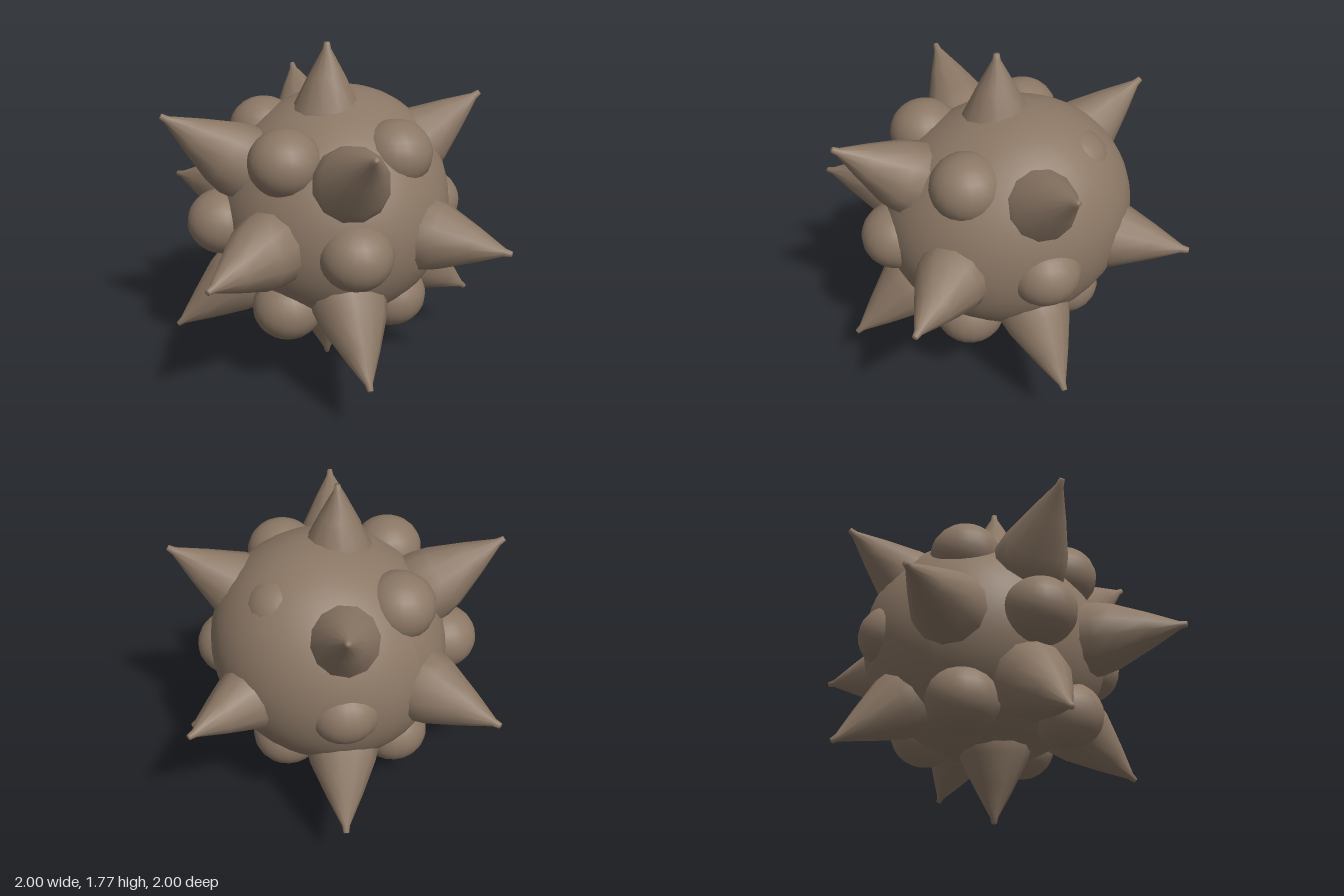
import * as THREE from 'three';

export function createModel() {
  const model = new THREE.Group();
  model.name = 'spikedBall';
  const brown = new THREE.MeshStandardMaterial({ color: 0x8b7765 });
  brown.name = 'earthBrown';
  const centre = 0.885;
  const UP = new THREE.Vector3(0, 1, 0);
  const turn = THREE.MathUtils.degToRad(8);

  const add = (geometry, name, position) => {
    const mesh = new THREE.Mesh(geometry, brown);
    mesh.name = name;
    mesh.position.copy(position);
    mesh.position.y += centre;
    model.add(mesh);
    return mesh;
  };

  // Lopsided round body, with a swelling at the upper back
  const bodyGeometry = new THREE.SphereGeometry(1, 48, 32);
  const pos = bodyGeometry.attributes.position;
  const swelling = new THREE.Vector3(0, 1, -1).normalize();
  const d = new THREE.Vector3();
  for (let i = 0; i < pos.count; i++) {
    d.fromBufferAttribute(pos, i).normalize();
    const angle = d.angleTo(swelling);
    const r = 0.6 + 0.02 * d.x * d.x - 0.03 * d.y * d.y + 0.01 * d.y - 0.045 * d.z
      + 0.04 * d.x * d.z + 0.08 * Math.exp(-1.5 * angle * angle);
    d.multiplyScalar(r);
    pos.setXYZ(i, d.x, d.y, d.z);
  }
  bodyGeometry.computeVertexNormals();
  add(bodyGeometry, 'body', new THREE.Vector3());

  // Spike profile: buried root, rounded shoulder, straight taper and blunt tip
  const spikeProfile = [[0.19, 0.45], [0.188, 0.56], [0.165, 0.65], [0.09, 0.82],
    [0.02, 0.965], [0.014, 1], [0, 1]].map(([r, y]) => new THREE.Vector2(r, y));
  const spikeGeometry = new THREE.LatheGeometry(spikeProfile, 12);
  const bumpGeometry = new THREE.SphereGeometry(0.18, 20, 14);

  // Cube directions: faces and corners carry spikes, edges carry bumps
  for (const x of [-1, 0, 1]) for (const y of [-1, 0, 1]) for (const z of [-1, 0, 1]) {
    const kind = Math.abs(x) + Math.abs(y) + Math.abs(z);
    if (kind === 0) continue;
    const dir = new THREE.Vector3(x, y, z).normalize().applyAxisAngle(UP, turn);
    if (kind === 2) {
      const bump = add(bumpGeometry, 'bump', dir.multiplyScalar(0.548));
      bump.scale.y = 0.92;
    } else {
      const spike = add(spikeGeometry, 'spike', new THREE.Vector3());
      spike.quaternion.setFromUnitVectors(UP, dir);
      const vertical = kind === 1 && y !== 0;
      spike.scale.y = vertical ? 0.885 : kind === 1 ? 1.009 : 1;
    }
  }
  return model;
}
